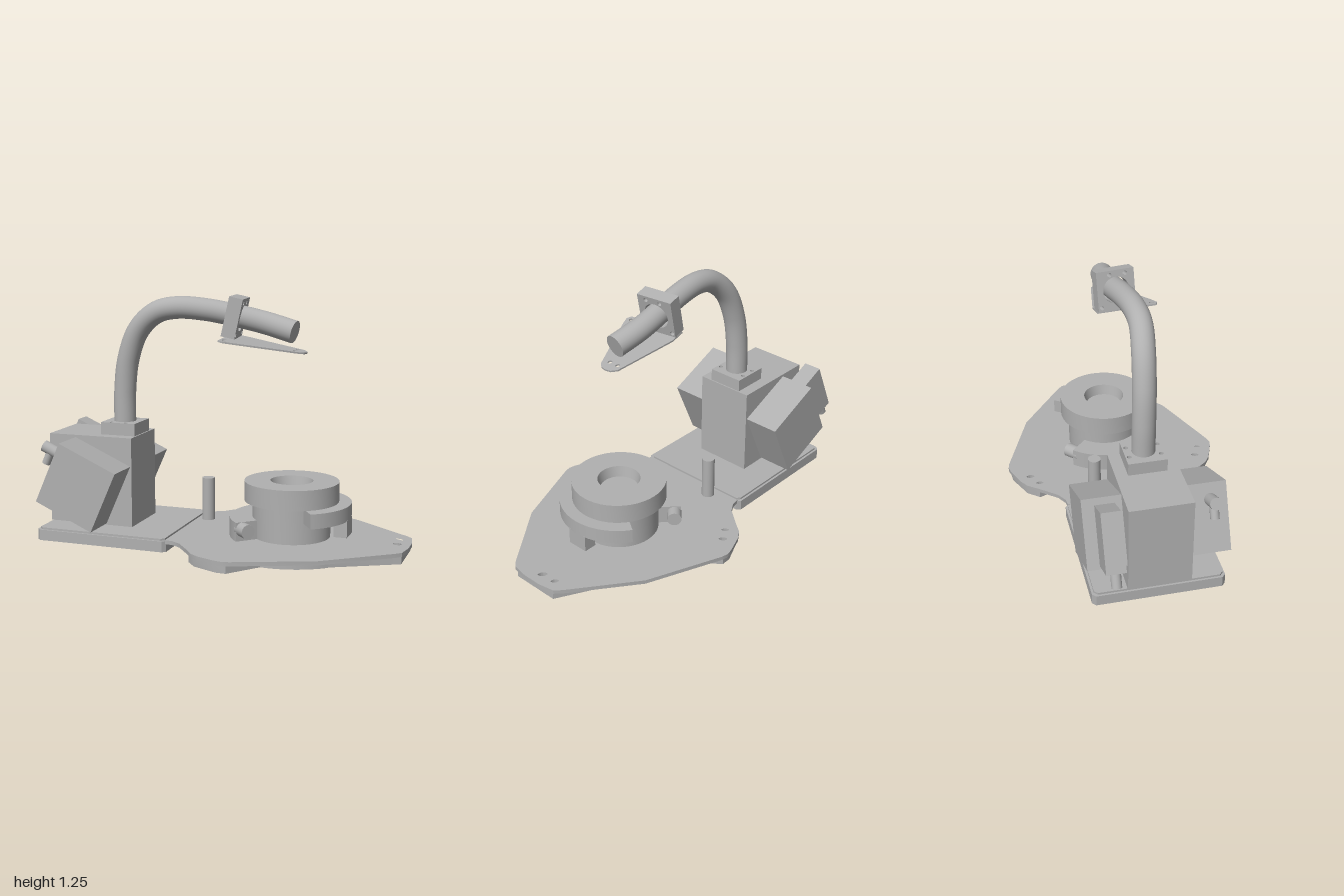
import * as THREE from 'three';
import { toCreasedNormals } from 'three/addons/utils/BufferGeometryUtils.js';

const V2 = (p) => new THREE.Vector2(p[0], p[1]);

export function createModel() {
  const model = new THREE.Group();
  const grey = new THREE.MeshStandardMaterial({ color: 0xb0b0b0 });
  grey.name = 'plain grey';

  const add = (name, geometry, x = 0, y = 0, z = 0, parent = model) => {
    const mesh = new THREE.Mesh(geometry, grey);
    mesh.name = name;
    mesh.position.set(x, y, z);
    parent.add(mesh);
    return mesh;
  };
  const box = (name, a, b, parent) => add(name,
    new THREE.BoxGeometry(b[0] - a[0], b[1] - a[1], b[2] - a[2]),
    (a[0] + b[0]) / 2, (a[1] + b[1]) / 2, (a[2] + b[2]) / 2, parent);
  const outline = (points, holes = []) => {
    const shape = new THREE.Shape(points.map(V2));
    for (const [x, y, r] of holes) {
      shape.holes.push(new THREE.Path().absarc(x, y, r, 0, Math.PI * 2, true));
    }
    return shape;
  };
  // Horizontal slab: the outline is drawn in x and z
  const slab = (shape, y0, y1) => {
    const g = new THREE.ExtrudeGeometry(shape, { depth: y1 - y0, bevelEnabled: false, curveSegments: 24 });
    g.rotateX(Math.PI / 2).translate(0, y1, 0);
    return toCreasedNormals(g, 0.5);
  };
  // Ring segment seen from above, around the dial centre
  const sector = (inner, outer, from, to) => {
    const s = new THREE.Shape();
    s.absarc(0, 0, outer, from, to, false);
    s.absarc(0, 0, inner, to, from, true);
    return s;
  };

  // Base block with chamfered corners
  const [bx0, bx1, bz, c] = [-0.865, -0.155, 0.325, 0.018];
  const corners = [[bx0 + c, -bz], [bx1 - c, -bz], [bx1, -bz + c], [bx1, bz - c],
    [bx1 - c, bz], [bx0 + c, bz], [bx0, bz - c], [bx0, -bz + c]];
  add('base', slab(outline(corners), 0, 0.055));
  const mid = (bx0 + bx1) / 2;
  const inset = corners.map(([x, z]) => [mid + (x - mid) * 0.97, z * 0.965]);
  add('baseTop', slab(outline(inset), 0.055, 0.065));

  // Wide floor plate with three pairs of holes
  const holes = [[0.07, -0.42, 0.024], [0.136, -0.46, 0.026], [0.136, 0.455, 0.026],
    [0.21, 0.49, 0.022], [0.925, -0.08, 0.024], [0.93, 0, 0.027]];
  const side = [[-0.16, 0.31], [-0.12, 0.315], [-0.07, 0.345], [0, 0.43], [0.045, 0.49], [0.09, 0.52],
    [0.19, 0.558], [0.225, 0.565], [0.26, 0.557], [0.64, 0.405], [0.955, 0.165], [0.985, 0.135], [1, 0.05]];
  const mirrored = side.map(([x, z]) => [x, -z]).reverse();
  add('floorPlate', slab(outline([...side, ...mirrored], holes), 0.04, 0.06));

  // Raised underside: round core with three arms
  const under = [[0.98, -0.125], [0.98, 0.125], [0.67, 0.29]];
  const arc = (from, to) => {
    for (let i = 1; i < 10; i++) {
      const a = from + (to - from) * i / 10;
      under.push([0.4 + 0.4 * Math.cos(a), 0.4 * Math.sin(a)]);
    }
  };
  arc(0.82, 1.67);
  under.push([0.36, 0.398], [0.24, 0.55], [0.19, 0.548], [0.06, 0.49], [0.01, 0.43], [0.08, 0.25]);
  arc(2.47, 3.81);
  under.push([0.08, -0.25], [0.01, -0.43], [0.06, -0.49], [0.19, -0.548], [0.24, -0.55], [0.36, -0.398]);
  arc(-1.67, -0.82);
  under.push([0.67, -0.29]);
  add('undersideArms', slab(outline(under, holes), 0, 0.04));

  // Small upright post
  add('post', new THREE.CylinderGeometry(0.033, 0.033, 0.225, 24), -0.1, 0.1725, -0.157);

  // Round dial with a dished top
  const dial = new THREE.LatheGeometry([[0, 0.06], [0.195, 0.06], [0.195, 0.24], [0.237, 0.24],
    [0.237, 0.34], [0.107, 0.34], [0.095, 0.285], [0, 0.285]].map(V2), 48);
  add('dial', toCreasedNormals(dial, 0.5), 0.4, 0, 0);

  // Clamp arcs around the dial
  add('rightClampArc', slab(sector(0.19, 0.3, -0.99, 0.99), 0.165, 0.238), 0.4, 0, 0);
  box('rightClampTab', [0.63, 0.083, -0.055], [0.697, 0.17, 0.055]);
  add('leftClampArc', slab(sector(0.19, 0.31, 2.36, 3.92), 0.06, 0.155), 0.4, 0, 0);
  for (const s of [1, -1]) {
    const pin = add('clampPin', new THREE.CylinderGeometry(0.036, 0.036, 0.08, 24), 0.218, 0.118, s * 0.206);
    pin.rotation.set(0, -s * 0.75, Math.PI / 2);
  }

  // Central tower with a tilted housing on either side
  box('tower', [-0.865, 0.065, -0.155], [-0.405, 0.528, 0.155]);
  const tilted = new THREE.Group();
  tilted.name = 'tiltedHousings';
  tilted.position.set(-0.633, 0.294, 0);
  tilted.rotation.z = -0.418;
  model.add(tilted);
  for (const s of [1, -1]) {
    add('housing', new THREE.BoxGeometry(0.334, 0.338, 0.19), 0, 0, s * 0.25, tilted);
  }
  box('rearMotor', [-0.32, -0.154, -0.285], [-0.167, 0.135, -0.19], tilted);
  add('rearMotorNub', new THREE.CylinderGeometry(0.025, 0.025, 0.08, 20), -0.29, -0.185, -0.237, tilted);
  add('knob', new THREE.CylinderGeometry(0.03, 0.03, 0.1, 24), -0.217, 0.088, 0.263, tilted).rotation.z = Math.PI / 2;
  add('knobStem', new THREE.CylinderGeometry(0.022, 0.022, 0.08, 20), -0.222, 0.048, 0.263, tilted);

  // Collar holding the neck
  const bolts = [[-0.543, -0.077, 0.011], [-0.467, -0.077, 0.011], [-0.547, 0.077, 0.011], [-0.467, 0.077, 0.011]];
  add('neckCollar', slab(outline([[-0.6, -0.095], [-0.412, -0.095], [-0.412, 0.095], [-0.6, 0.095]], bolts), 0.528, 0.592));

  // Curved neck tube with closed end
  const path = new THREE.CatmullRomCurve3([[-0.505, 0.58, 0], [-0.502, 0.75, 0.002], [-0.478, 0.92, 0.008],
    [-0.415, 1.07, 0.018], [-0.31, 1.162, 0.03], [-0.2, 1.188, 0.026], [-0.05, 1.18, 0.01], [0.1, 1.153, -0.01],
    [0.25, 1.12, -0.02], [0.405, 1.08, -0.004]].map((p) => new THREE.Vector3(...p)));
  add('neck', new THREE.TubeGeometry(path, 64, 0.057, 28));
  const end = add('neckEnd', new THREE.CircleGeometry(0.057, 28), 0.405, 1.08, -0.004);
  end.quaternion.setFromUnitVectors(new THREE.Vector3(0, 0, 1), path.getTangent(1));

  // Square bracket threaded on the neck
  const frame = outline([[-0.097, -0.1], [0.097, -0.1], [0.097, 0.1], [-0.097, 0.1]],
    [[0, 0, 0.067], [-0.05, 0.078, 0.011], [0.03, 0.078, 0.011], [-0.08, -0.08, 0.011], [0.08, -0.08, 0.011]]);
  const frameGeo = new THREE.ExtrudeGeometry(frame, { depth: 0.07, bevelEnabled: false, curveSegments: 16 });
  frameGeo.translate(0, 0, -0.035).rotateY(Math.PI / 2);
  const bracket = add('bracket', toCreasedNormals(frameGeo, 0.5), 0.098, 1.148, -0.007);
  bracket.rotation.set(0, 0.13, -0.215);

  // Thin triangular plate under the neck
  const fin = outline([[0, -0.1], [0.08, -0.11], [0.4, -0.055], [0.425, -0.03], [0.43, 0], [0.425, 0.03],
    [0.405, 0.052], [0.1, 0.2], [0.06, 0.215], [0.035, 0.205]],
    [[0.045, 0.135, 0.011], [0.06, 0.185, 0.011], [0.375, -0.03, 0.011], [0.375, 0.022, 0.011]]);
  add('neckPlate', slab(fin, -0.008, 0), 0.045, 1.054, 0).rotation.z = -0.164;

  return model;
}
